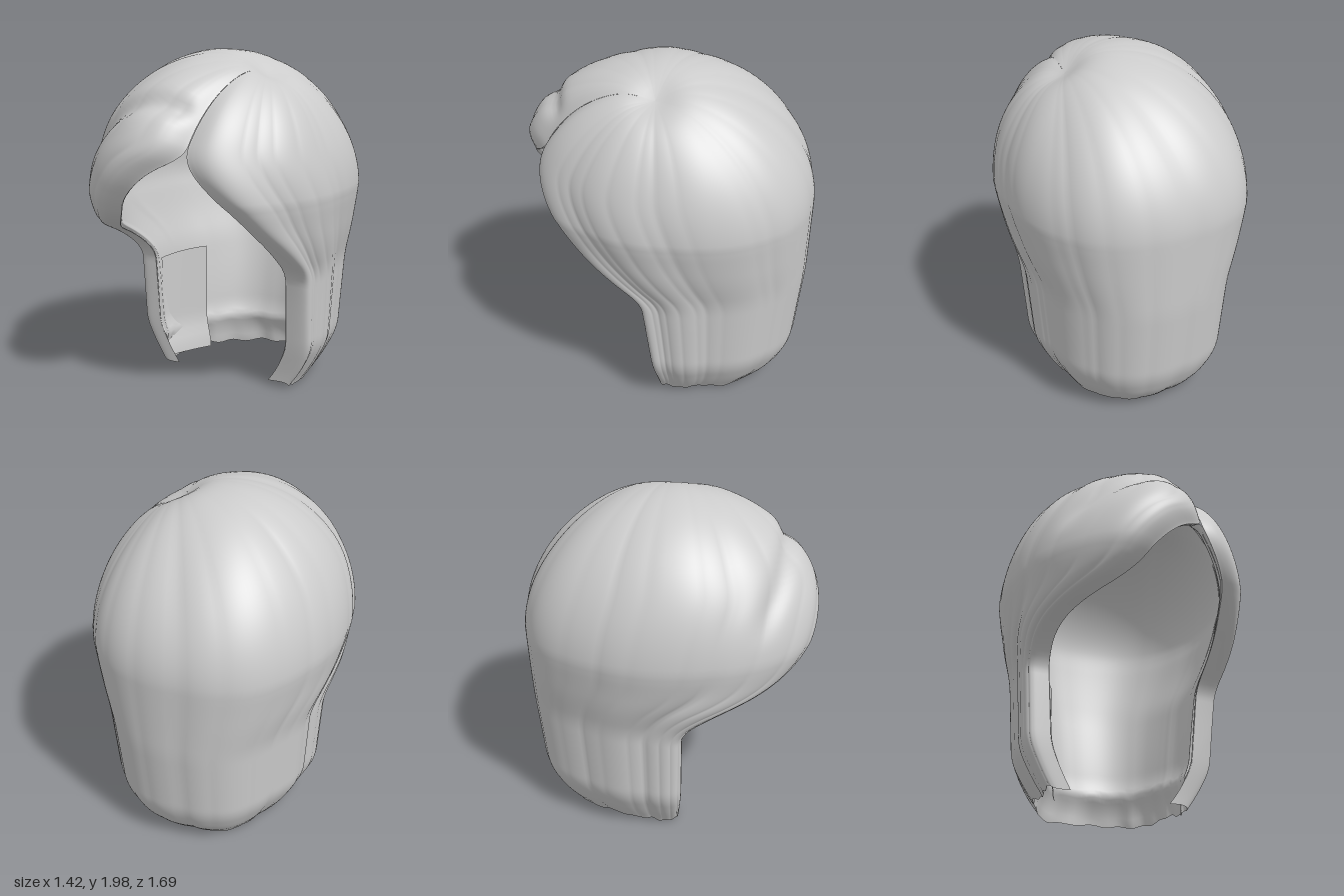
import * as THREE from 'three';
import { ParametricGeometry } from 'three/addons/geometries/ParametricGeometry.js';

const { lerp, smoothstep, clamp } = THREE.MathUtils;
const PART = { x: 0.31, z: 0.0 };      // point the strands radiate from
const MID = 1.2, DOME = 0.795;         // widest level and dome height above it

// Widest outline seen from above: radius every 30 degrees, from the back towards +x
const OUTLINE = [0.855, 0.85, 0.755, 0.705, 0.72, 0.785, 0.86, 0.8, 0.74, 0.705, 0.755, 0.845];
// Profiles as [height, value], top to bottom
const WIDTH = [[1.2, 1], [0.95, 0.93], [0.76, 0.855], [0.28, 0.815], [0.12, 0.7], [0, 0.59]];
const BACK = [[1.2, 1], [0.75, 0.985], [0.28, 0.93], [0.12, 0.84], [0, 0.7]];
// Azimuth (from the back) of the front edge on each side
const LEFT_EDGE = [[1.54, 2.82], [1.43, 2.73], [1.22, 2.49], [1.06, 2.28], [0.9, 1.98], [0.75, 1.67], [0.6, 1.63], [0.08, 1.52]];
const RIGHT_EDGE = [[1.54, 3.46], [1.44, 3.26], [1.29, 3.08], [1.1, 2.89], [1.03, 2.7], [0.96, 2.38], [0.88, 2.07], [0.75, 1.8], [0.07, 1.8]];

function linear(table, y) {
  if (y >= table[0][0]) return table[0][1];
  for (let i = 1; i < table.length; i++) {
    const [y0, v0] = table[i - 1], [y1, v1] = table[i];
    if (y >= y1) return lerp(v1, v0, (y - y1) / (y0 - y1));
  }
  return table[table.length - 1][1];
}

// Table lookup with rounded corners
function sample(table, y, soft = 0.05) {
  let sum = 0;
  for (let i = -2; i <= 2; i++) sum += linear(table, y + i * soft * 0.5);
  return sum / 5;
}

function outlineRadius(az) {
  const f = ((az / (Math.PI / 6)) % 12 + 12) % 12, i = Math.floor(f), t = f - i;
  const p = (k) => OUTLINE[(i + k + 12) % 12];
  return p(0) + 0.5 * t * (p(1) - p(-1) + t * (2 * p(-1) - 5 * p(0) + 4 * p(1) - p(2)
    + t * (3 * (p(0) - p(1)) + p(2) - p(-1))));
}

// Soft lobes separated by narrow valleys
const lobes = (v) => Math.sqrt(Math.abs(Math.sin(v)) + 0.06) - 0.8;
const strands = (c) => 0.024 * lobes(c * 11 + 0.6) + 0.007 * lobes(c * 27 + 1.3 + Math.sin(c * 9));
const hemHeight = (c) => 0.035 + 0.012 * Math.sin(c * 13 + 1) + 0.007 * Math.sin(c * 47);

// Point on the hair: c runs from the right edge (-1) over the back (0) to the
// left edge (+1); s runs from the parting point (0) to the hem (1)
function hairPoint(c, s, inner, out) {
  const onDome = s < 0.45, a = (s / 0.45) * Math.PI / 2, side = Math.sign(c), ac = Math.abs(c);
  const level = onDome ? MID + DOME * Math.cos(a) : lerp(MID, hemHeight(c), (s - 0.45) / 0.55);

  // Strands near the front edges sweep backwards on their way down
  const edges = c > 0 ? LEFT_EDGE : RIGHT_EDGE;
  const az = side * (edges[0][1] * ac - (edges[0][1] - sample(edges, level)) * Math.pow(ac, 1.7));
  const r = outlineRadius(az);
  let x = r * Math.sin(az), z = -r * Math.cos(az), y = level;

  if (onDome) {
    const q = Math.sin(a);
    x = lerp(PART.x, x, q);
    z = lerp(PART.z, z, q);
    const n = Math.min(Math.hypot(x, z) / outlineRadius(Math.atan2(x, -z)), 1);
    y = MID + DOME * Math.sqrt(1 - Math.pow(n, 2 + 0.5 * Math.min(z, 0)));
  } else {
    x *= sample(WIDTH, y);
    z *= sample(z < 0 ? BACK : WIDTH, y);
  }

  // Grooves, parting furrow, rolled front edges, fuller fringe and its upper tier
  const grow = smoothstep(s, 0.0, 0.3), gap = 1 - ac, fade = smoothstep(gap, 0, 0.06);
  let push = strands(c) * grow * fade;
  const roll = lerp(0.13, 0.06, smoothstep(y, 0.8, 1.5));
  push -= roll * Math.exp(-Math.pow(gap / 0.035, 1.3)) * smoothstep(s, 0.02, 0.35);
  push -= 0.05 * Math.exp(-Math.pow(Math.hypot(x - PART.x, z - PART.z) / 0.12, 2));
  if (c < 0) {
    const tier = z - 0.64 + 0.5 * (x + 0.1) * (x + 0.1);
    push += 0.03 * Math.exp(-Math.pow((gap - 0.1) / 0.09, 2)) * smoothstep(y, 0.9, 1.3) * grow * fade;
    push -= 0.035 * Math.exp(-Math.pow(tier / 0.045, 2)) * smoothstep(y, 1.3, 1.55) * fade;
  }

  // The lining sits inside, thickest low at the back, and meets the shell at
  // the hem and front edges
  if (inner) {
    const hem = clamp((y - hemHeight(c)) / (0.22 - hemHeight(c)), 0, 1);
    const edge = lerp(Math.sqrt(clamp(gap / 0.06, 0, 1)), 1, smoothstep(y, 1.5, 1.64));
    const low = 1 - smoothstep(y, 0.3, 1.2);
    const depth = 0.12 + low * (0.02 + 0.05 * smoothstep(-z, 0.1, 0.6));
    push = lerp(push, Math.min(push, 0) * 0.3 - depth, hem * edge);
  }
  const f = 1 + push / Math.max(Math.hypot(x, z, Math.max(y - 1.1, 0)), 0.3);
  out.set(x * f, y > 1.1 ? 1.1 + (y - 1.1) * f : y, z * f);
}

// Columns crowd towards the front edges
const column = (u) => Math.sin((u - 0.5) * Math.PI) * 0.6 + (2 * u - 1) * 0.4;

function surface(name, fn, slices, stacks, material) {
  const geometry = new ParametricGeometry(fn, slices, stacks);
  geometry.computeVertexNormals();
  const mesh = new THREE.Mesh(geometry, material);
  mesh.name = name;
  return mesh;
}

export function createModel() {
  const group = new THREE.Group();
  group.name = 'bobHair';
  const hair = new THREE.MeshStandardMaterial({ color: 0xcccccc });
  const thin = new THREE.MeshStandardMaterial({ color: 0xcccccc, side: THREE.DoubleSide });

  // Outer hair and its lining
  group.add(surface('outerHair', (u, v, p) => hairPoint(column(u), v, false, p), 240, 90, hair));
  group.add(surface('hairLining', (u, v, p) => hairPoint(column(1 - u), v, true, p), 140, 80, hair));

  // Inner lock beside the right cheek
  group.add(surface('rightInnerLock', (u, v, p) => {
    const y = lerp(0.73 - 0.03 * (1 - u) * (1 - u), 0.06, v);
    const tuck = 1 - 0.1 * smoothstep(0.28 - y, 0, 0.22);
    p.set(lerp(-0.45, -0.34, u * u * 0.4 + u * 0.6) * tuck, y, lerp(0.07, -0.24, u));
  }, 10, 14, thin));

  return group;
}
